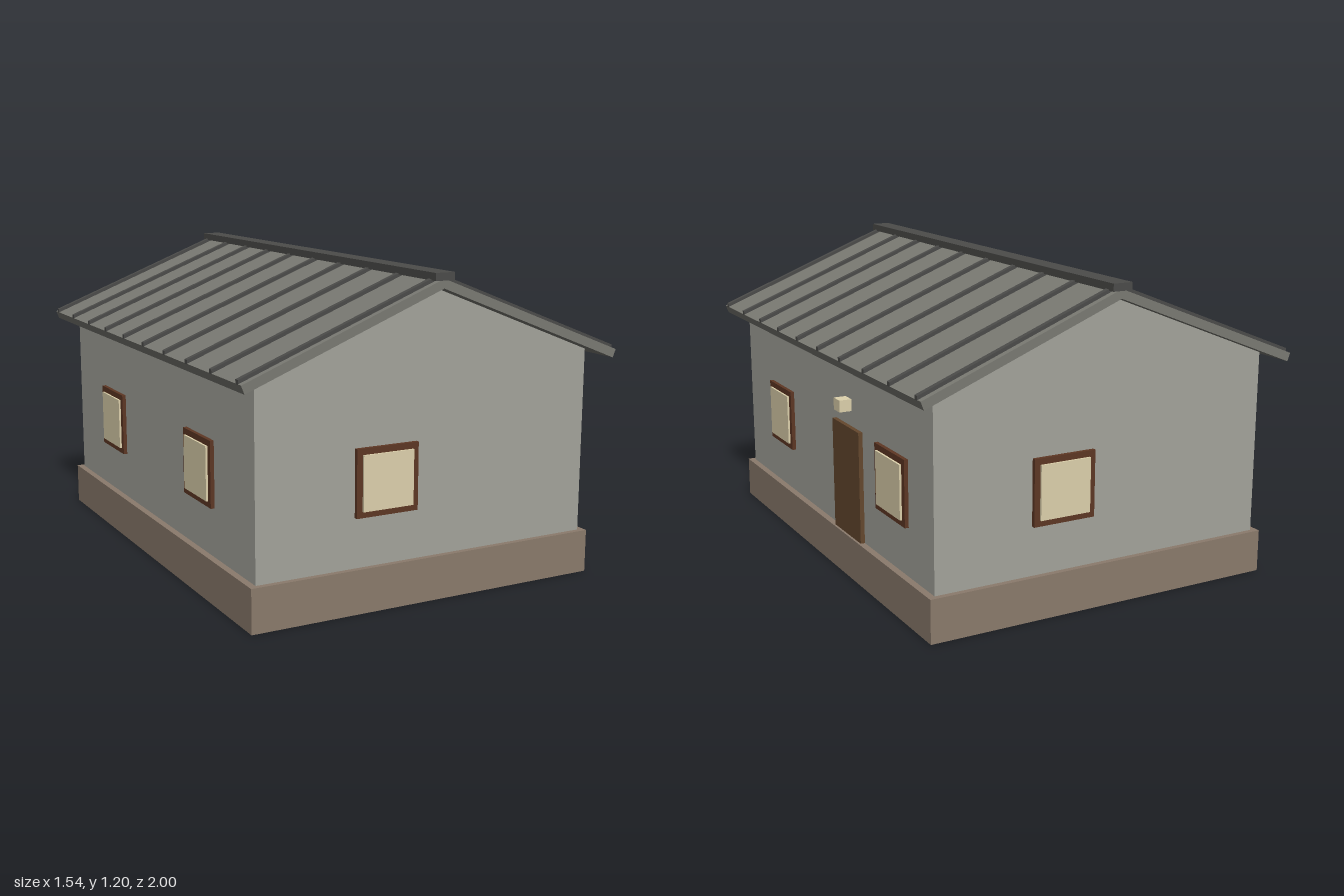
import * as THREE from 'three';

const mat = (color) => new THREE.MeshStandardMaterial({ color, flatShading: true });
const MATS = {
  wall: mat(0xa4a49c), base: mat(0x8b7b6c), roof: mat(0x7a7a73), trim: mat(0x4c4c4a),
  frame: mat(0x5e3724), glass: mat(0xded2ad), door: mat(0x65482e),
};

const HALF_X = 0.688, HALF_Z = 0.917; // wall extents
const EAVE_Y = 0.876;

function box(name, material, size, pos) {
  const m = new THREE.Mesh(new THREE.BoxGeometry(...size), material);
  m.name = name;
  m.position.set(...pos);
  return m;
}

// Extrude a front-facing (x, y) outline along z, centred on z
function prism(name, material, points, depth, z = 0) {
  const shape = new THREE.Shape(points.map(([x, y]) => new THREE.Vector2(x, y)));
  const geo = new THREE.ExtrudeGeometry(shape, { depth, bevelEnabled: false });
  geo.translate(0, 0, z - depth / 2);
  const m = new THREE.Mesh(geo, material);
  m.name = name;
  return m;
}

// Window facing +z, with its pane standing slightly proud of the frame
function makeWindow(name, x, z, turn) {
  const g = new THREE.Group();
  g.name = name;
  g.add(box('windowFrame', MATS.frame, [0.25, 0.25, 0.03], [0, 0, 0]));
  g.add(box('windowPane', MATS.glass, [0.204, 0.204, 0.03], [0, 0, 0.008]));
  g.position.set(x, 0.475, z);
  g.rotation.y = turn;
  return g;
}

export function createModel() {
  const house = new THREE.Group();
  house.name = 'house';

  // Foundation and walls
  house.add(box('foundation', MATS.base, [1.428, 0.165, 1.876], [0, 0.0825, 0]));
  house.add(box('walls', MATS.wall, [HALF_X * 2, EAVE_Y - 0.165, HALF_Z * 2],
    [0, (EAVE_Y + 0.165) / 2, 0]));
  house.add(prism('gable', MATS.wall,
    [[-HALF_X, EAVE_Y], [HALF_X, EAVE_Y], [0, 1.148]], HALF_Z * 2));

  // Roof slopes with standing seams
  for (const s of [1, -1]) {
    const side = s > 0 ? 'left' : 'right';
    house.add(prism(side + 'RoofSlope', MATS.roof,
      [[0, 1.18], [s * 0.77, 0.877], [s * 0.758, 0.846], [0, 1.146]], 1.99));
    for (let i = 0; i < 10; i++) {
      house.add(prism(side + 'RoofSeam', MATS.trim,
        [[0, 1.194], [s * 0.77, 0.891], [s * 0.77, 0.875], [0, 1.178]],
        0.02, -0.961 + i * 0.2136));
    }
  }
  house.add(box('ridgeCap', MATS.trim, [0.078, 0.028, 2], [0, 1.188, 0]));

  // Gable-end windows
  house.add(makeWindow('frontWindow', -0.178, HALF_Z, 0));
  house.add(makeWindow('backWindow', 0.178, -HALF_Z, Math.PI));

  // Long-side windows
  for (const z of [0.505, -0.595]) {
    house.add(makeWindow('leftWindow', HALF_X, z, Math.PI / 2));
  }
  for (const z of [0.455, -0.455]) {
    house.add(makeWindow('rightWindow', -HALF_X, z, -Math.PI / 2));
  }

  // Entrance
  house.add(box('door', MATS.door, [0.034, 0.435, 0.25], [HALF_X, 0.3825, -0.205]));
  house.add(box('porchLight', MATS.glass, [0.05, 0.046, 0.056], [0.712, 0.683, -0.205]));

  return house;
}
